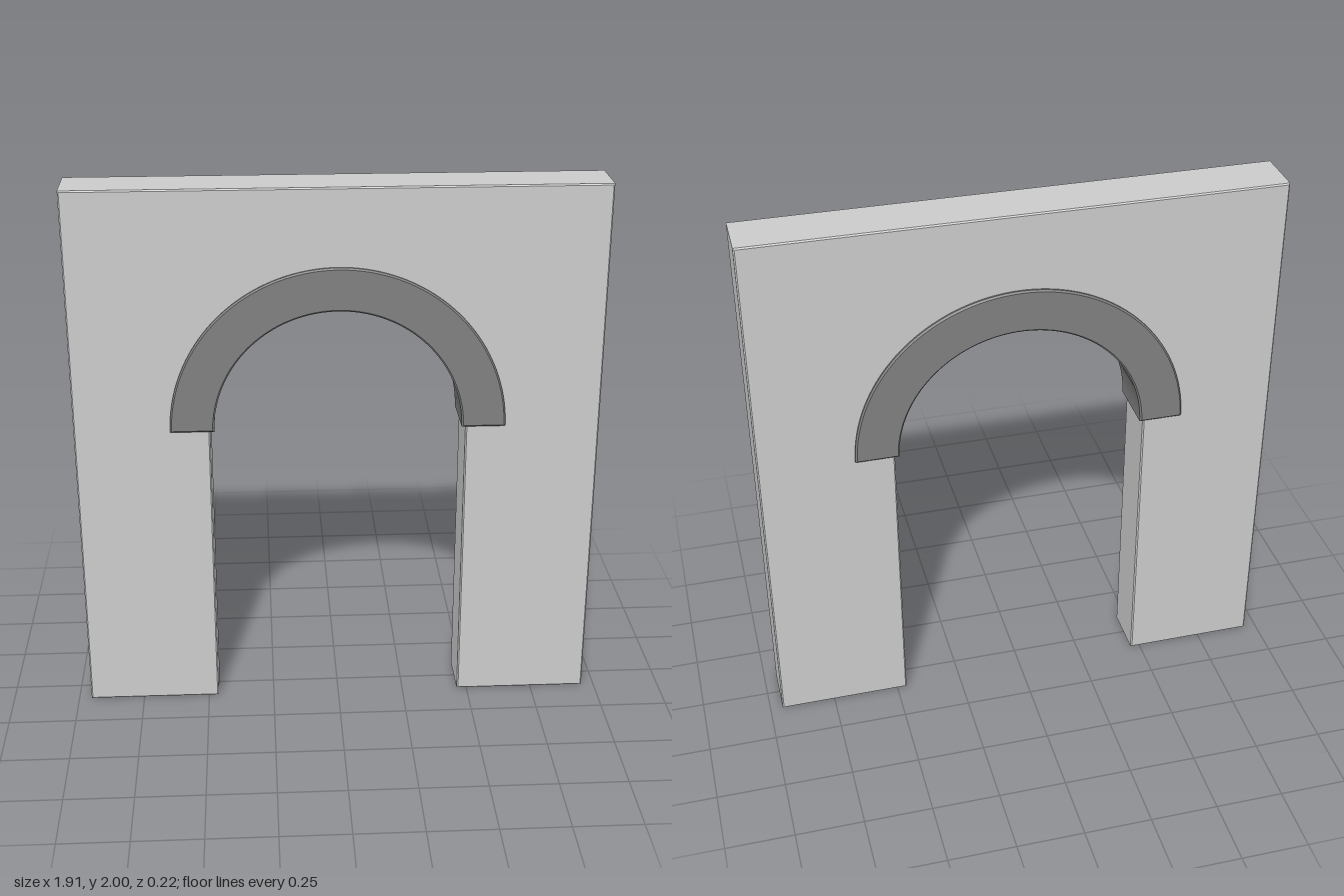
import * as THREE from 'three';
import { toCreasedNormals } from 'three/addons/utils/BufferGeometryUtils.js';

const SPRING = 1.11; // height where the arch begins

// Extrude a front outline to a slab centred on z = 0, with slightly eased edges
function slab(name, shape, depth, bevel, color) {
  const geometry = new THREE.ExtrudeGeometry(shape, {
    depth: depth - 2 * bevel,
    bevelEnabled: true,
    bevelThickness: bevel,
    bevelSize: bevel,
    bevelOffset: -bevel,
    bevelSegments: 1,
    curveSegments: 40,
  });
  geometry.translate(0, 0, bevel - depth / 2);
  const mesh = new THREE.Mesh(
    toCreasedNormals(geometry, 0.5),
    new THREE.MeshStandardMaterial({ color })
  );
  mesh.name = name;
  return mesh;
}

export function createModel() {
  const group = new THREE.Group();
  group.name = 'archway';

  // Wall with a round-headed opening down to the ground
  const w = 0.953, r = 0.463;
  const wall = new THREE.Shape();
  wall.moveTo(-w, 0);
  wall.lineTo(-r, 0);
  wall.lineTo(-r, SPRING);
  wall.absarc(0, SPRING, r, Math.PI, 0, true);
  wall.lineTo(r, 0);
  wall.lineTo(w, 0);
  wall.lineTo(w, 2);
  wall.lineTo(-w, 2);
  wall.closePath();
  group.add(slab('wall', wall, 0.195, 0.005, 0xcccccc));

  // Darker half-ring lining the arch and standing proud of both faces
  const ring = new THREE.Shape();
  ring.absarc(0, SPRING, 0.607, 0, Math.PI, false);
  ring.absarc(0, SPRING, 0.448, Math.PI, 0, true);
  ring.closePath();
  group.add(slab('archTrim', ring, 0.22, 0.006, 0x808080));

  return group;
}
